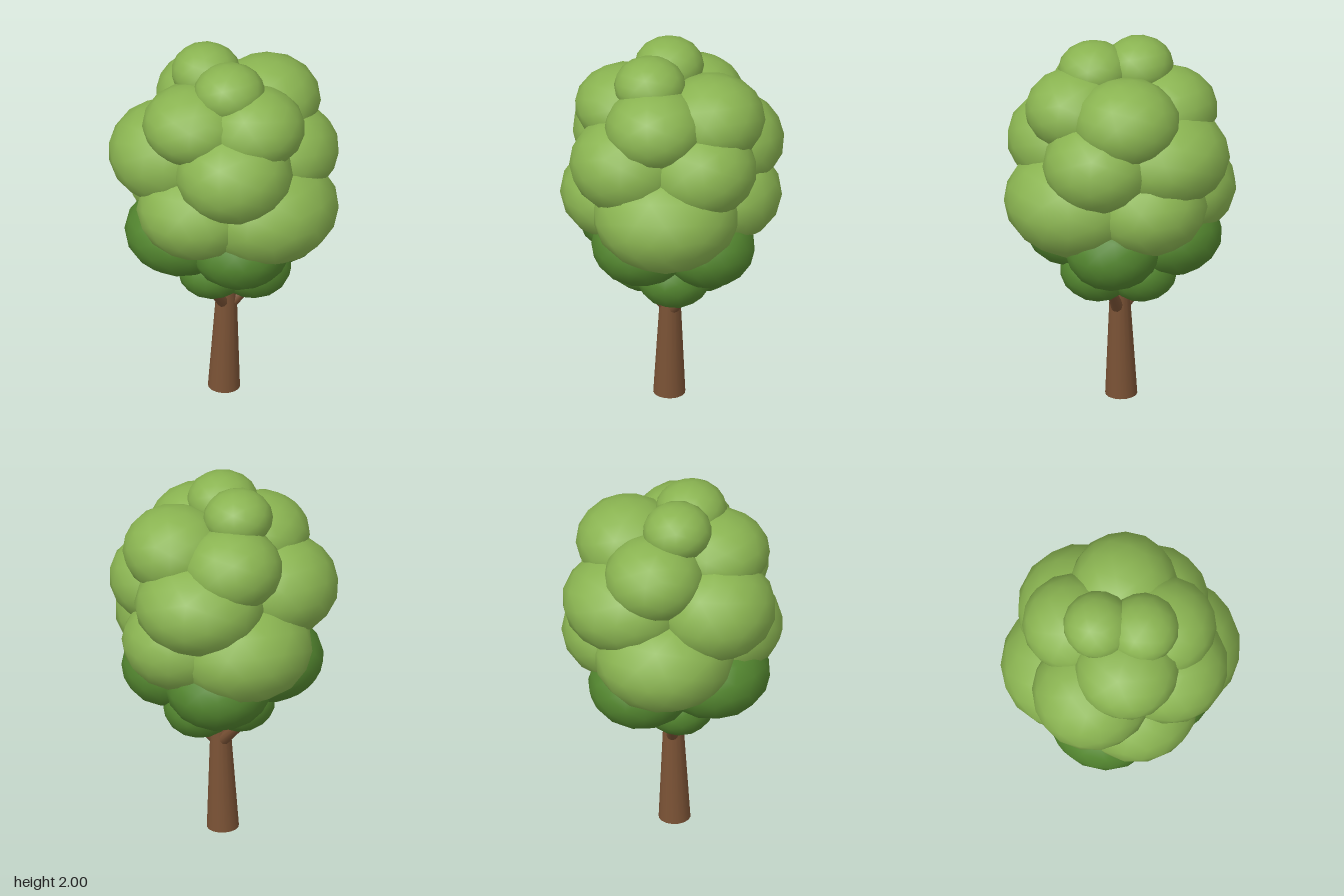
import * as THREE from 'three';

export function createModel() {
  const tree = new THREE.Group();
  tree.name = 'tree';
  const bark = new THREE.MeshStandardMaterial({ color: 0x7a5235 });
  bark.name = 'bark brown';
  const leaf = new THREE.MeshStandardMaterial({ color: 0x8ab451 });
  leaf.name = 'light leaf green';
  const shade = new THREE.MeshStandardMaterial({ color: 0x53862f });
  shade.name = 'dark leaf green';

  // Tapered round limb between two points
  function limb(name, from, to, r0, r1, sides) {
    const a = new THREE.Vector3(...from), b = new THREE.Vector3(...to);
    const dir = b.clone().sub(a);
    const mesh = new THREE.Mesh(new THREE.CylinderGeometry(r1, r0, dir.length(), sides), bark);
    mesh.name = name;
    mesh.position.copy(a).add(b).multiplyScalar(0.5);
    mesh.quaternion.setFromUnitVectors(new THREE.Vector3(0, 1, 0), dir.normalize());
    tree.add(mesh);
  }
  limb('trunk', [-0.033, 0, 0.02], [-0.015, 0.78, 0.015], 0.084, 0.042, 16);
  limb('leftBranch', [0, 0.5, 0.01], [0.15, 0.7, -0.1], 0.034, 0.022, 10);
  limb('rightBranch', [-0.03, 0.5, 0.01], [-0.23, 0.7, -0.04], 0.034, 0.022, 10);
  limb('frontBranch', [-0.022, 0.49, 0.02], [-0.02, 0.7, 0.22], 0.034, 0.022, 10);

  // Flattened leaf clumps per layer: x, y, z, horizontal radius, vertical radius
  const layers = [
    ['crownClump', leaf, [[-0.145, 1.85, 0.01, 0.182, 0.15], [0.06, 1.84, 0.13, 0.188, 0.15]]],
    ['upperClump', leaf, [
      [-0.09, 1.66, 0.235, 0.275, 0.21], [0.2, 1.66, 0.115, 0.265, 0.215],
      [0.11, 1.66, -0.19, 0.28, 0.23], [-0.22, 1.63, -0.13, 0.265, 0.22]]],
    ['middleClump', leaf, [
      [-0.27, 1.43, 0.19, 0.315, 0.27], [0.15, 1.44, 0.25, 0.31, 0.26],
      [0.24, 1.43, -0.12, 0.295, 0.25], [-0.1, 1.43, -0.245, 0.345, 0.26]]],
    ['lowerClump', leaf, [
      [-0.05, 1.18, 0.265, 0.325, 0.255], [0.23, 1.175, 0.06, 0.387, 0.295],
      [0.02, 1.18, -0.25, 0.315, 0.255], [-0.25, 1.165, -0.085, 0.37, 0.28]]],
    ['shadedClump', shade, [
      [-0.19, 0.98, 0.19, 0.3, 0.23], [0.15, 0.96, 0.18, 0.265, 0.21],
      [0.18, 0.945, -0.16, 0.25, 0.21], [-0.18, 0.95, -0.19, 0.28, 0.22]]],
    ['baseClump', shade, [
      [-0.03, 0.77, 0.15, 0.185, 0.155], [0.135, 0.765, 0.01, 0.2, 0.168],
      [-0.15, 0.775, 0.02, 0.185, 0.16], [-0.02, 0.77, -0.155, 0.19, 0.165]]],
  ];
  const ball = new THREE.IcosahedronGeometry(1, 2);
  let turn = 0;
  for (const [name, material, clumps] of layers) {
    for (const [x, y, z, wide, tall] of clumps) {
      const mesh = new THREE.Mesh(ball, material);
      mesh.name = name;
      mesh.position.set(x, y, z);
      mesh.scale.set(wide, tall, wide);
      mesh.rotation.y = turn += 1.3;
      tree.add(mesh);
    }
  }
  return tree;
}
